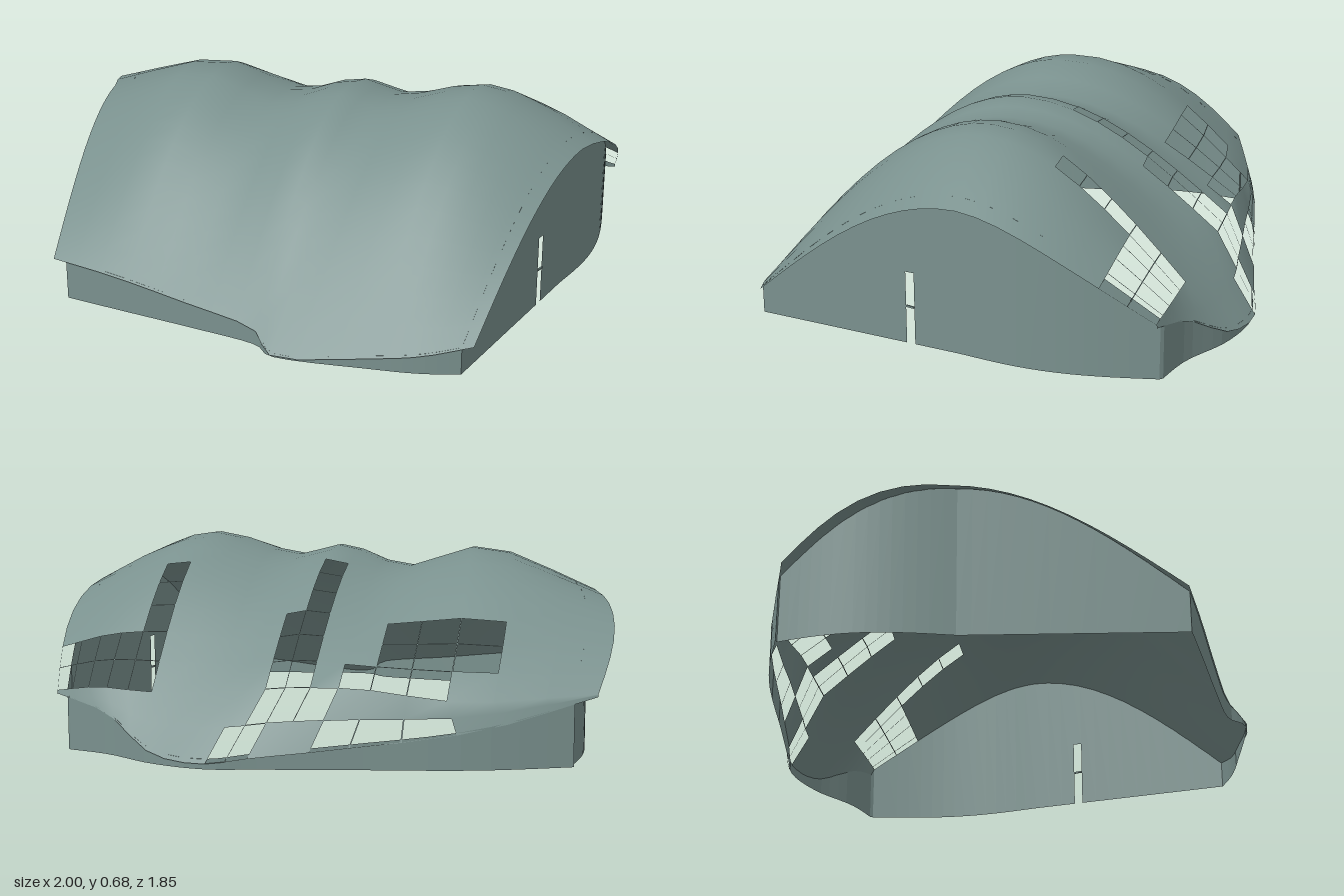
import * as THREE from 'three';

const V = (x, y, z) => new THREE.Vector3(x, y, z);
const curve = (pts) => new THREE.CatmullRomCurve3(pts.map((p) => V(...p)), false, 'catmullrom', 0.5);
const SPANS = 7, COLS = 18, FRONT = 12, BACK = 8, FLAP = 2;

// Guide lines running across the roof: front eave, ridge, back eave and flared back lip
const front = curve([[-0.44, 0.14, 0.92], [-0.2, 0.125, 0.87], [0.08, 0.09, 0.81], [0.32, 0.06, 0.765],
  [0.44, 0.005, 0.79], [0.72, 0.04, 0.66], [0.87, 0.065, 0.58], [1, 0.1, 0.48]]);
const ridge = curve([[-0.79, 0.5, 0.25], [-0.4, 0.64, 0.17], [-0.12, 0.565, 0.09], [0.1, 0.635, 0.02],
  [0.27, 0.6, -0.05], [0.53, 0.675, -0.15], [0.72, 0.62, -0.21], [0.91, 0.51, -0.28]]);
const back = curve([[-1, 0.24, -0.25], [-0.64, 0.22, -0.49], [-0.33, 0.25, -0.6], [-0.1, 0.25, -0.68],
  [0.08, 0.23, -0.73], [0.36, 0.21, -0.8], [0.55, 0.22, -0.86], [0.7, 0.2, -0.89]]);
const lip = curve([[-1, 0.23, -0.25], [-0.69, 0.13, -0.49], [-0.3, 0.07, -0.7], [-0.05, 0.04, -0.835],
  [0.11, 0.02, -0.92], [0.3, 0.04, -0.93], [0.5, 0.14, -0.885], [0.7, 0.19, -0.893]]);

// Roof point: u crosses the humps (0..1), s runs front eave 0, ridge 1, back eave 2, lip 3
function roofPoint(u, s) {
  const F = front.getPoint(u), R = ridge.getPoint(u), B = back.getPoint(u);
  if (s <= 1) {
    const p = F.clone().lerp(R, s);
    p.y = F.y + (R.y - F.y) * Math.sin(s * Math.PI / 2);
    return p;
  }
  if (s <= 2) {
    const t = s - 1, p = R.clone().lerp(B, t);
    p.y = B.y + (R.y - B.y) * Math.cos(t * Math.PI / 2);
    p.x += 0.06 * Math.sin(t * Math.PI) * Math.pow(2 * u - 1, 3);
    return p;
  }
  return B.lerp(lip.getPoint(u), s - 2);
}

// Glazed openings: [column, first row, last row], rows counted from the ridge backwards
const OPENINGS = [
  [2, 5, 6], [3, 5, 7], [4, 5, 7], [5, 7, 7],
  [7, 2, 7], [8, 5, 7],
  [13, 3, 7], [14, 6, 7], [15, 6, 7], [16, 6, 7], [17, 6, 7],
  [3, 9, 9], [4, 9, 9], [5, 9, 9], [6, 8, 8], [7, 8, 8], [8, 8, 9], [9, 9, 9],
];
const isOpen = (c, r) => OPENINGS.some(([k, a, b]) => k === c && r >= a && r <= b);

function rowValue(j) {
  if (j <= FRONT) return j / FRONT;
  if (j <= FRONT + BACK) return 1 + (j - FRONT) / BACK;
  return 2 + (j - FRONT - BACK) / FLAP;
}

function geometryFrom(points, index) {
  const g = new THREE.BufferGeometry().setFromPoints(points);
  g.setIndex(index);
  g.computeVertexNormals();
  return g;
}

// Wavy shell with openings, plus thin glazing bars around each open cell
function buildRoof() {
  const rows = FRONT + BACK + FLAP, pts = [], idx = [], barPts = [], barIdx = [];
  const w = COLS + 1;
  for (let j = 0; j <= rows; j++)
    for (let i = 0; i <= COLS; i++) pts.push(roofPoint(i / COLS, rowValue(j)));
  for (let j = 0; j < rows; j++) {
    for (let i = 0; i < COLS; i++) {
      const a = j * w + i, b = a + 1, c = b + w, d = a + w;
      if (!isOpen(i, j - FRONT)) {
        idx.push(a, b, c, a, c, d);
        continue;
      }
      const corners = [a, b, c, d].map((k) => pts[k]);
      const mid = V(0, 0, 0);
      corners.forEach((p) => mid.addScaledVector(p, 0.25));
      const n = barPts.length;
      corners.forEach((p) => barPts.push(p.clone(), p.clone().lerp(mid, 0.03)));
      for (let k = 0; k < 4; k++) {
        const o = n + 2 * k, q = n + 2 * ((k + 1) % 4);
        barIdx.push(o, q, q + 1, o, q + 1, o + 1);
      }
    }
  }
  return [geometryFrom(pts, idx), geometryFrom(barPts, barIdx)];
}

// Vertical wall hanging from a line of roof points; foot(k) gives the lower edge of panel k
function wallGeometry(line, foot = () => 0) {
  const pts = [], idx = [];
  for (let k = 0; k < line.length - 1; k++) {
    const p = line[k], q = line[k + 1], y = foot(k), n = pts.length;
    pts.push(V(p.x, y, p.z), V(q.x, y, q.z), q, p);
    idx.push(n, n + 1, n + 2, n, n + 2, n + 3);
  }
  return geometryFrom(pts, idx);
}

export function createModel() {
  const group = new THREE.Group();
  const mat = new THREE.MeshStandardMaterial({ color: 0x7a918e, side: THREE.DoubleSide });
  mat.name = 'grey green';
  const add = (name, geometry) => {
    const m = new THREE.Mesh(geometry, mat);
    m.name = name;
    group.add(m);
    return m;
  };

  const [shell, bars] = buildRoof();
  add('roofShell', shell);
  add('glazingBars', bars);

  // Walls sit just inside the roof edge
  const u0 = 0.2 / SPANS, u1 = 6.75 / SPANS, sFront = 0.008, sBack = 2.93;
  const span = (a, b, n) => Array.from({ length: n + 1 }, (_, k) => a + (b - a) * k / n);
  const across = span(u0, u1, 28);
  add('frontWall', wallGeometry(across.map((u) => roofPoint(u, sFront))));
  add('backWall', wallGeometry(across.map((u) => roofPoint(u, sBack)).reverse()));
  const sides = span(sFront, 2, 30).concat([sBack]);
  add('rightWall', wallGeometry(sides.map((s) => roofPoint(u0, s)).reverse()));

  // Left wall has a narrow door opening
  const doorA = 0.735, doorB = 0.775, head = 0.25;
  const leftS = [...span(sFront, doorA, 10), ...span(doorB, 2, 18), sBack];
  add('leftWall', wallGeometry(leftS.map((s) => roofPoint(u1, s)), (k) => (k === 10 ? head : 0)));
  const a = roofPoint(u1, doorA), b = roofPoint(u1, doorB);
  const rail = add('doorRail', new THREE.BoxGeometry(0.006, 0.006, a.z - b.z));
  rail.position.set((a.x + b.x) / 2, 0.13, (a.z + b.z) / 2);

  return group;
}
